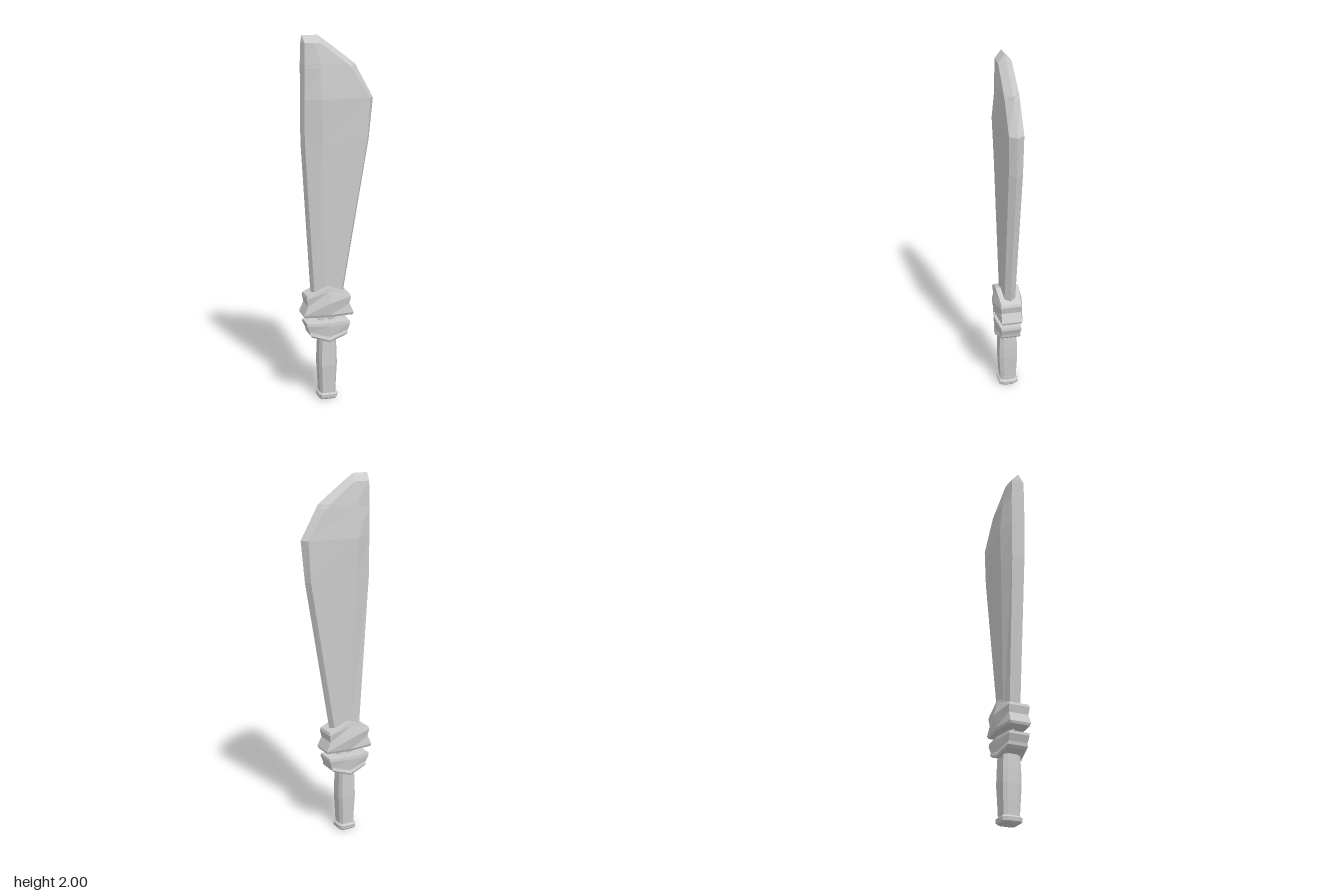
import * as THREE from 'three';

const MID = -0.06; // centre line of grip and guards

// Skin a stack of rings (bottom to top, each counter-clockwise from above) and close both ends
// with fans around the given centre points.
function loft(name, rings, bottomCentre, topCentre) {
  const n = rings[0].length;
  const pos = rings.flat(2);
  const index = [];
  for (let r = 0; r < rings.length - 1; r++) {
    for (let i = 0; i < n; i++) {
      const a = r * n + i, b = r * n + (i + 1) % n;
      index.push(a, b, b + n, a, b + n, a + n);
    }
  }
  const bc = pos.length / 3, top = (rings.length - 1) * n;
  pos.push(...bottomCentre, ...topCentre);
  for (let i = 0; i < n; i++) {
    const j = (i + 1) % n;
    index.push(bc, j, i, bc + 1, top + i, top + j);
  }
  let geo = new THREE.BufferGeometry();
  geo.setAttribute('position', new THREE.Float32BufferAttribute(pos, 3));
  geo.setIndex(index);
  geo = geo.toNonIndexed();
  geo.computeVertexNormals();
  const mesh = new THREE.Mesh(geo, new THREE.MeshStandardMaterial({ color: 0xcccccc, flatShading: true }));
  mesh.name = name;
  return mesh;
}

// Blade section: sharp on both sides, bevelled, thickest at the ridge
const bladeRing = ([y, xl, xr, bl, br, e, xm, t]) => [
  [xr, y, 0], [xr - br, y, -e], [xm, y, -t], [xl + bl, y, -e],
  [xl, y, 0], [xl + bl, y, e], [xm, y, t], [xr - br, y, e],
];

// Guard section: six-sided, its middle raised or lowered to make a chevron
const guardRing = ([ySide, yMid, xl, xr, e, t]) => [
  [xr, ySide, e], [xr, ySide, -e], [MID, yMid, -t],
  [xl, ySide, -e], [xl, ySide, e], [MID, yMid, t],
];

// Grip section: rectangle with chamfered corners
const gripRing = ([y, w, d]) => [
  [w, 0.55 * d], [w, -0.55 * d], [0.75 * w, -d], [-0.75 * w, -d],
  [-w, -0.55 * d], [-w, 0.55 * d], [-0.75 * w, d], [0.75 * w, d],
].map(([x, z]) => [MID + x, y, z]);

export function createModel() {
  const group = new THREE.Group();
  group.name = 'machete';

  // Blade: y, left, right, left bevel, right bevel, bevel depth, ridge x, ridge depth
  const blade = [
    [0.56, -0.147, 0.027, 0.015, 0.018, 0.03, -0.07, 0.036],
    [1.45, -0.2, 0.178, 0.015, 0.018, 0.037, -0.095, 0.063],
    [1.67, -0.2, 0.2, 0.015, 0.025, 0.039, -0.1, 0.071],
    [1.83, -0.2, 0.111, 0.015, 0.04, 0.039, -0.1, 0.055],
    [1.85, -0.2, 0.1, 0.015, 0.05, 0.039, -0.1, 0.053],
    [1.96, -0.197, -0.047, 0.015, 0.05, 0.036, -0.13, 0.038],
    [2.0, -0.19, -0.105, 0, 0, 0, -0.13, 0],
  ];
  group.add(loft('blade', blade.map(bladeRing), [-0.07, 0.56, 0], [-0.13, 2, 0]));

  // Upper guard: side y, middle y, left, right, side depth, middle depth
  const upper = [
    [0.485, 0.485, -0.195, 0.075, 0.054, 0.07],
    [0.498, 0.498, -0.2, 0.08, 0.059, 0.076],
    [0.55, 0.565, -0.177, 0.056, 0.055, 0.086],
    [0.59, 0.63, -0.185, 0.064, 0.06, 0.07],
    [0.605, 0.655, -0.18, 0.058, 0.056, 0.066],
  ];
  group.add(loft('upperGuard', upper.map(guardRing), [MID, 0.485, 0], [MID, 0.655, 0]));

  // Lower guard
  const lower = [
    [0.37, 0.34, -0.155, 0.035, 0.052, 0.07],
    [0.382, 0.352, -0.165, 0.045, 0.057, 0.075],
    [0.4, 0.37, -0.168, 0.048, 0.053, 0.068],
    [0.435, 0.432, -0.184, 0.061, 0.058, 0.073],
    [0.45, 0.45, -0.182, 0.059, 0.056, 0.071],
  ];
  group.add(loft('lowerGuard', lower.map(guardRing), [MID, 0.34, 0], [MID, 0.45, 0]));

  // Two thin slanted prongs bridging the gap between the guards
  for (const s of [-1, 1]) {
    const ring = (y, near, far) => {
      const x0 = MID + Math.min(s * near, s * far), x1 = MID + Math.max(s * near, s * far);
      return [[x1, y, 0.008], [x1, y, -0.008], [x0, y, -0.008], [x0, y, 0.008]];
    };
    group.add(loft(s < 0 ? 'rightProng' : 'leftProng',
      [ring(0.43, 0.008, 0.04), ring(0.51, 0.03, 0.062)],
      [MID + s * 0.024, 0.43, 0], [MID + s * 0.046, 0.51, 0]));
  }

  // Grip: y, half width, half depth
  const grip = [[0.02, 0.044, 0.045], [0.06, 0.045, 0.046], [0.2, 0.052, 0.053], [0.27, 0.051, 0.051], [0.37, 0.046, 0.047]];
  group.add(loft('grip', grip.map(gripRing), [MID, 0.02, 0], [MID, 0.37, 0]));

  // Pommel
  const pommel = [[0, 0.046, 0.046], [0.008, 0.053, 0.054], [0.028, 0.055, 0.056], [0.036, 0.048, 0.049]];
  group.add(loft('pommel', pommel.map(gripRing), [MID, 0, 0], [MID, 0.036, 0]));

  return group;
}
